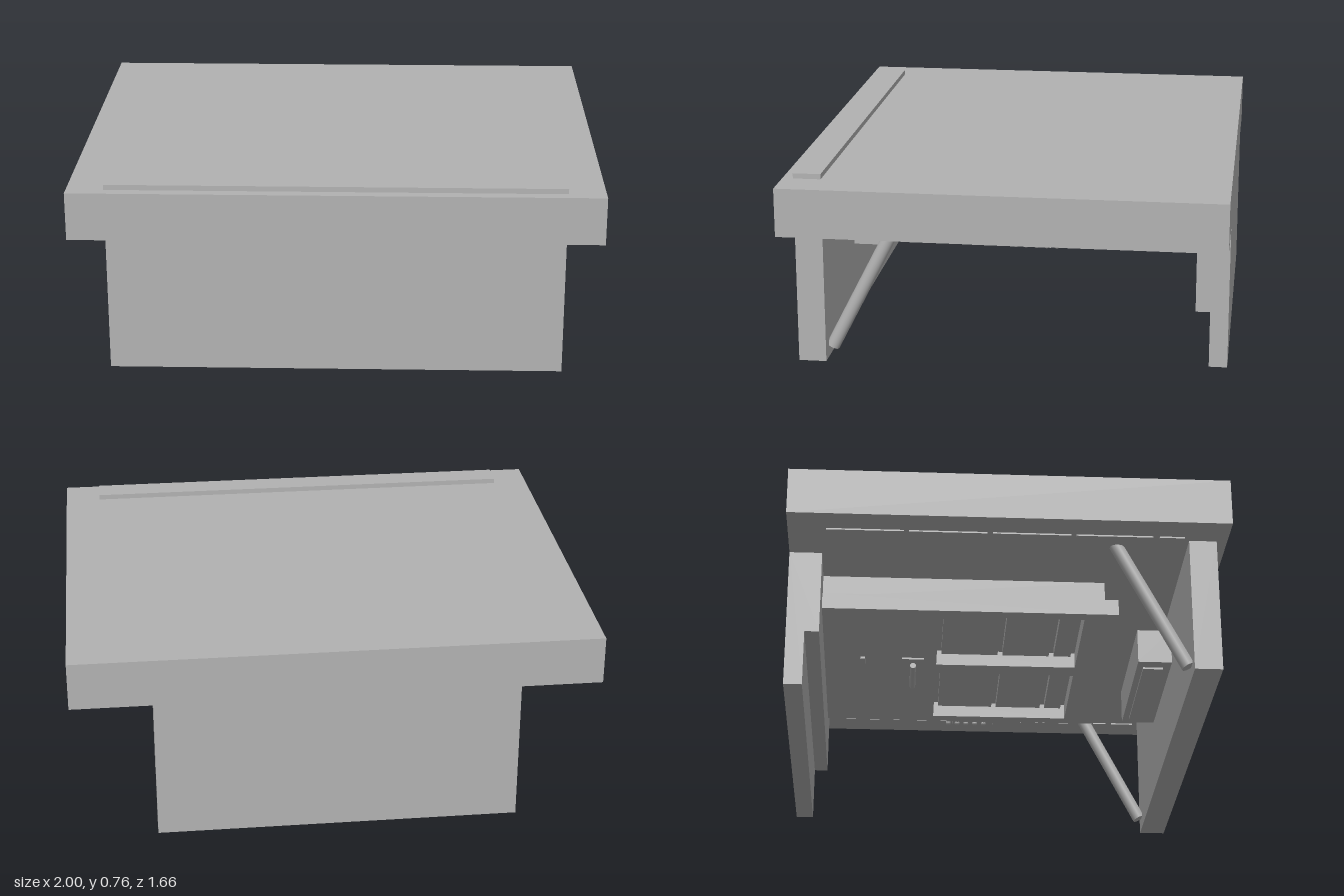
import * as THREE from 'three';

export function createModel() {
  const root = new THREE.Group();
  const grey = new THREE.MeshStandardMaterial({ color: 0xb2b2b2 });
  grey.name = 'plain grey';

  const add = (name, geometry, parent = root) => {
    const mesh = new THREE.Mesh(geometry, grey);
    mesh.name = name;
    parent.add(mesh);
    return mesh;
  };
  const group = (name) => {
    const g = new THREE.Group();
    g.name = name;
    root.add(g);
    return g;
  };
  // Box given by its limits on each axis
  const box = (name, x0, x1, y0, y1, z0, z1, parent) => {
    const mesh = add(name, new THREE.BoxGeometry(x1 - x0, y1 - y0, z1 - z0), parent);
    mesh.position.set((x0 + x1) / 2, (y0 + y1) / 2, (z0 + z1) / 2);
    return mesh;
  };
  // Round bar between two points
  const bar = (name, a, b, radius, parent) => {
    const d = new THREE.Vector3().subVectors(b, a);
    const mesh = add(name, new THREE.CylinderGeometry(radius, radius, d.length(), 24), parent);
    mesh.position.addVectors(a, b).multiplyScalar(0.5);
    mesh.quaternion.setFromUnitVectors(new THREE.Vector3(0, 1, 0), d.normalize());
    return mesh;
  };

  // Main slab with the front panel passing through it
  box('topSlab', -1, 1, 0.555, 0.74, -0.83, 0.83);
  box('frontPanel', -0.86, 0.86, 0.02, 0.555, 0.685, 0.79);
  box('topStrip', -0.86, 0.86, 0.74, 0.76, 0.685, 0.79);

  // Stepped back panel, as a side profile pulled across the width
  const profile = new THREE.Shape();
  [[-0.83, 0], [-0.76, 0], [-0.76, 0.22], [-0.705, 0.22], [-0.705, 0.555], [-0.83, 0.555]]
    .forEach(([z, y], i) => (i ? profile.lineTo(-z, y) : profile.moveTo(-z, y)));
  const backGeometry = new THREE.ExtrudeGeometry(profile, { depth: 1.38, bevelEnabled: false });
  backGeometry.translate(0, 0, -0.69).rotateY(Math.PI / 2);
  add('backPanel', backGeometry);

  // Slanted struts behind the front panel
  for (const s of [1, -1]) {
    bar('strut', new THREE.Vector3(s * 0.79, 0.06, 0.672),
      new THREE.Vector3(s * 0.79, 0.565, 0.413), 0.026);
  }

  // Hanging board with two rectangular openings below its support
  box('boardSupport', -0.5, 0.5, 0.465, 0.555, -0.705, 0.4);
  const rect = (shape, x0, x1, z0, z1) => {
    shape.moveTo(x0, z0);
    shape.lineTo(x1, z0);
    shape.lineTo(x1, z1);
    shape.lineTo(x0, z1);
    shape.closePath();
    return shape;
  };
  const outline = rect(new THREE.Shape(), -0.53, 0.53, -0.705, 0.45);
  for (const s of [1, -1]) {
    outline.holes.push(rect(new THREE.Path(), s * 0.26 - 0.22, s * 0.26 + 0.22, -0.25, 0.32));
  }
  const boardGeometry = new THREE.ExtrudeGeometry(outline, { depth: 0.065, bevelEnabled: false });
  boardGeometry.rotateX(Math.PI / 2);
  // The turn sends shape y to z and the depth downwards
  add('hangingBoard', boardGeometry).position.y = 0.465;

  // Flat panels inside each opening
  for (const s of [1, -1]) {
    const inset = group('openingPanels');
    for (const [z0, z1] of [[-0.23, 0], [0.02, 0.21], [0.23, 0.3]]) {
      box('insetPanel', s * 0.26 - 0.19, s * 0.26 + 0.19, 0.435, 0.465, z0, z1, inset);
    }
  }

  // Small fittings under the back of the board
  const fittings = group('boardFittings');
  box('handlePlate', -0.1, 0.1, 0.393, 0.4, -0.39, -0.3, fittings);
  bar('handleBar', new THREE.Vector3(-0.1, 0.365, -0.345),
    new THREE.Vector3(0.1, 0.365, -0.345), 0.012, fittings);
  box('smallPlate', -0.1, 0.1, 0.392, 0.4, -0.56, -0.54, fittings);

  // Keypad beside the board
  const keypad = group('keypad');
  box('keypadBody', 0.58, 0.73, 0.465, 0.525, -0.16, 0.14, keypad);
  box('keypadScreen', 0.6, 0.71, 0.459, 0.465, 0.02, 0.12, keypad);
  const key = new THREE.SphereGeometry(0.011, 16, 12);
  for (let row = 0; row < 5; row++) {
    for (let column = 0; column < 3; column++) {
      add('key', key, keypad).position.set(0.615 + column * 0.04, 0.462, -0.022 - row * 0.039);
    }
  }

  // Box on the inner side of the front panel
  box('innerBox', -0.3, 0.3, 0.31, 0.45, 0.55, 0.685);
  box('innerBoxPlate', -0.25, 0.25, 0.302, 0.31, 0.575, 0.655);

  // Dashed strips under both long edges of the slab
  const dashes = [[0.57, 0.665], [0.255, 0.545], [-0.06, 0.235], [-0.375, -0.08], [-0.685, -0.395]];
  for (const s of [1, -1]) {
    const strips = group('undersideStrips');
    for (const [z0, z1] of dashes) {
      box('strip', s * 0.88 - 0.008, s * 0.88 + 0.008, 0.549, 0.555, z0, z1, strips);
    }
  }
  return root;
}
